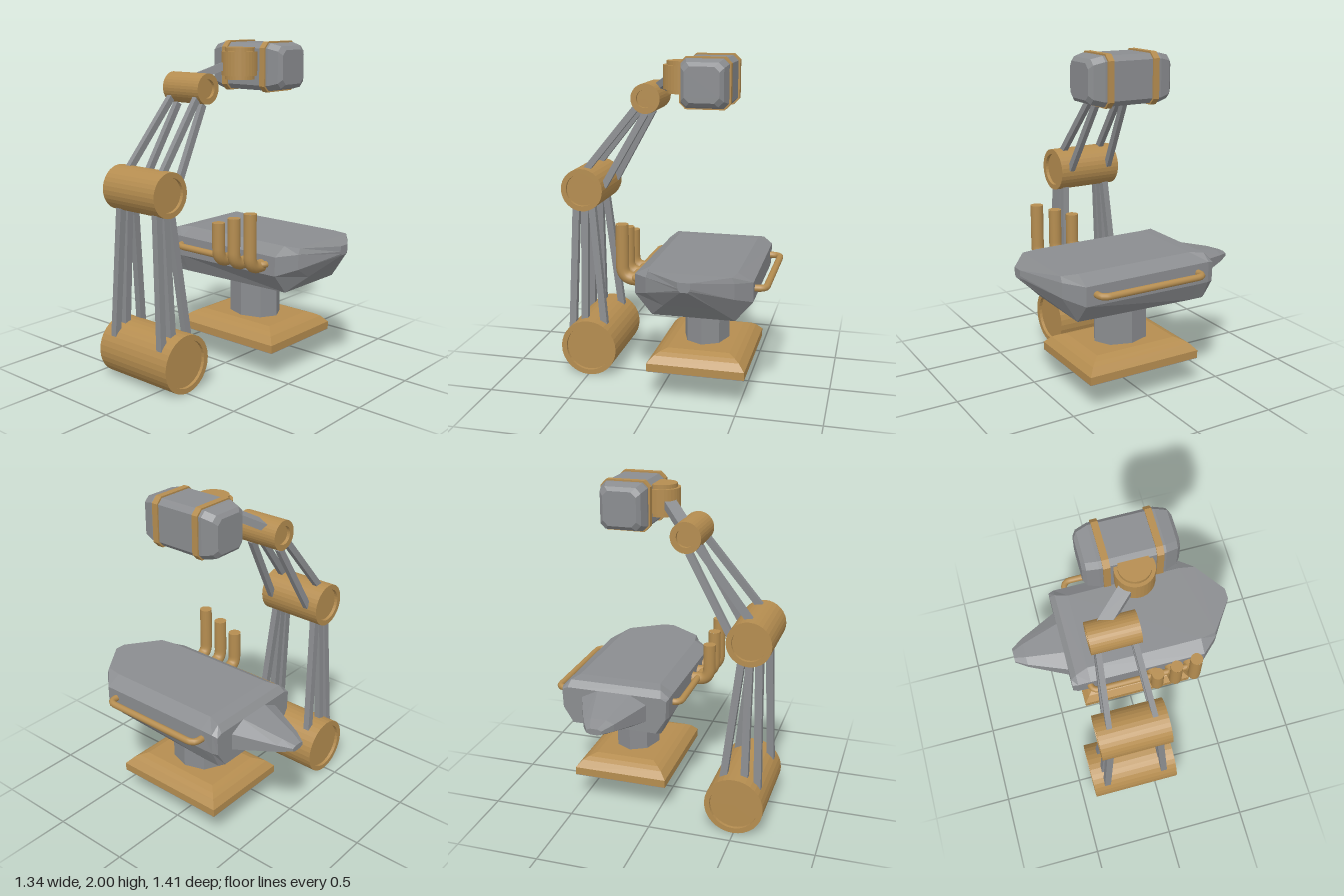
import * as THREE from 'three';

const brass = new THREE.MeshStandardMaterial({ color: 0xb58d50 });
brass.name = 'brass';
const steel = new THREE.MeshStandardMaterial({ color: 0x8b8d90 });
steel.name = 'steel';

const CX = 0.245; // centre line of the anvil

export function createModel() {
  const model = new THREE.Group();

  // Adds a mesh; faceted unless smooth is set
  function add(name, geometry, material, smooth = false) {
    let g = geometry;
    if (!smooth) {
      if (g.index) g = g.toNonIndexed();
      g.computeVertexNormals();
    }
    const mesh = new THREE.Mesh(g, material);
    mesh.name = name;
    model.add(mesh);
    return mesh;
  }

  // Joins rings of points (anticlockwise seen from +z, in order of z) and caps both ends
  function loft(rings) {
    const n = rings[0].length;
    const index = [];
    for (let i = 0; i < rings.length - 1; i++) {
      for (let j = 0; j < n; j++) {
        const a = i * n + j, b = i * n + (j + 1) % n;
        index.push(a, b, b + n, a, b + n, a + n);
      }
    }
    const last = (rings.length - 1) * n;
    for (let j = 1; j < n - 1; j++) {
      index.push(0, j + 1, j, last, last + j, last + j + 1);
    }
    const g = new THREE.BufferGeometry();
    g.setAttribute('position', new THREE.Float32BufferAttribute(rings.flat(2), 3));
    g.setIndex(index);
    return g;
  }

  // Rectangle with cut corners
  function octagon(cx, cy, hx, hy, cutX, cutY, z) {
    const x = hx - cutX, y = hy - cutY;
    return [[hx, -y], [hx, y], [x, hy], [-x, hy], [-hx, y], [-hx, -y], [-x, -hy], [x, -hy]]
      .map(([px, py]) => [cx + px, cy + py, z]);
  }

  // Drum along z with a shallow recess in each end
  function drum(name, x, y, z0, z1, r, inner) {
    const h = (z1 - z0) / 2, d = h - 0.02;
    const profile = [[0, -d], [inner, -d], [inner, -h], [r, -h], [r, h], [inner, h], [inner, d], [0, d]]
      .map(([a, b]) => new THREE.Vector2(a, b));
    const g = new THREE.LatheGeometry(profile, 32);
    g.rotateX(Math.PI / 2);
    add(name, g, brass).position.set(x, y, (z0 + z1) / 2);
  }

  // Straight bar between two points
  function strut(name, from, to, width, depth, up = [0, 0, 1]) {
    const a = new THREE.Vector3(...from), b = new THREE.Vector3(...to);
    const mesh = add(name, new THREE.BoxGeometry(width, depth, a.distanceTo(b)), steel);
    mesh.up.set(...up);
    mesh.position.copy(a).add(b).multiplyScalar(0.5);
    mesh.lookAt(b);
  }

  // Pipe with one rounded bend or more
  function pipe(name, points, bend, radius) {
    const v = points.map((p) => new THREE.Vector3(...p));
    const path = new THREE.CurvePath();
    let start = v[0];
    for (let i = 1; i < v.length - 1; i++) {
      const p = v[i].clone().add(v[i - 1].clone().sub(v[i]).setLength(bend));
      const q = v[i].clone().add(v[i + 1].clone().sub(v[i]).setLength(bend));
      path.add(new THREE.LineCurve3(start, p));
      path.add(new THREE.QuadraticBezierCurve3(p, v[i], q));
      start = q;
    }
    path.add(new THREE.LineCurve3(start, v[v.length - 1]));
    add(name, new THREE.TubeGeometry(path, 40, radius, 14, false), brass, true);
  }

  // Arm joints
  drum('footDrum', -0.495, 0.177, -0.415, 0.14, 0.177, 0.145);
  drum('elbowDrum', -0.543, 1.173, -0.345, 0.07, 0.132, 0.1);
  drum('wristDrum', -0.155, 1.733, -0.277, 0.003, 0.09, 0.055);

  // Arm struts, mirrored about the arm's own plane
  const armZ = -0.135;
  for (const s of [-1, 1]) {
    for (const [x0, y0, x1, y1] of [
      [-0.62, 0.27, -0.594, 1.08], [-0.54, 0.3, -0.538, 1.08], [-0.412, 0.31, -0.495, 1.08],
    ]) {
      strut('lowerStrut', [x0, y0, armZ + s * 0.192], [x1, y1, armZ + s * 0.146], 0.043, 0.04);
    }
    for (const [x0, y0, x1, y1] of [[-0.54, 1.28, -0.2, 1.7], [-0.42, 1.19, -0.165, 1.64]]) {
      strut('upperStrut', [x0, y0, armZ + s * 0.135], [x1, y1, armZ + s * 0.1], 0.04, 0.032);
    }
  }
  strut('wristLink', [-0.12, 1.775, -0.18], [0.04, 1.875, 0.01], 0.075, 0.045, [0, 1, 0]);

  // Swivel behind the hammer head
  add('swivel', new THREE.CylinderGeometry(0.11, 0.11, 0.14, 32), brass).position.set(0.08, 1.873, 0.045);
  add('swivelCap', new THREE.CylinderGeometry(0.09, 0.09, 0.187, 32), brass).position.set(0.08, 1.873, 0.045);

  // Hammer head with tapered ends
  const headY = 1.853;
  add('hammerHead', loft([
    [-0.22, 0.1], [-0.2, 0.122], [-0.135, 0.138], [0.225, 0.138], [0.29, 0.122], [0.31, 0.1],
  ].map(([z, h]) => octagon(0.25, headY, h, h, 0.03, 0.03, z))), steel);
  for (const z of [-0.097, 0.192]) {
    add('hammerBand', loft([-0.019, 0.019].map((d) =>
      octagon(0.25, headY, 0.148, 0.147, 0.035, 0.035, z + d))), brass);
  }

  // Anvil body: z, then half width and height of four points down one side
  add('anvilBody', loft([
    [-0.395, 0.29, 0.8, 0.325, 0.785, 0.32, 0.67, 0.26, 0.575],
    [-0.36, 0.28, 0.838, 0.333, 0.795, 0.33, 0.67, 0.28, 0.56],
    [-0.28, 0.252, 0.845, 0.333, 0.795, 0.333, 0.67, 0.28, 0.56],
    [0.46, 0.252, 0.845, 0.34, 0.795, 0.34, 0.68, 0.24, 0.56],
    [0.56, 0.235, 0.845, 0.25, 0.81, 0.25, 0.72, 0.15, 0.655],
    [0.705, 0.035, 0.843, 0.035, 0.81, 0.03, 0.797, 0.02, 0.787],
  ].map(([z, ...p]) => {
    const side = [0, 2, 4, 6].map((i) => [p[i], p[i + 1]]);
    const right = side.slice().reverse().map(([x, y]) => [CX + x, y, z]);
    const left = side.map(([x, y]) => [CX - x, y, z]);
    return [...right, ...left];
  })), steel);

  // Horn at the back
  add('anvilHorn', loft([
    [-0.71, 0.045, 0.698, 0.018], [-0.635, 0.092, 0.7, 0.042], [-0.38, 0.207, 0.697, 0.107],
  ].map(([z, hx, y, hy]) => octagon(CX, y, hx, hy, hx * 0.5, hy * 0.5, z))), steel);

  // Neck and stepped base
  const neck = new THREE.CylinderGeometry(1, 1, 0.3, 8);
  neck.scale(0.138, 1, 0.176);
  add('neck', neck, steel).position.set(0.243, 0.43, 0.038);
  const base = loft([
    [0.18, 0.291, 0.368], [0.228, 0.291, 0.368], [0.268, 0.254, 0.332], [0.285, 0.225, 0.305], [0.3, 0.185, 0.265],
  ].map(([y, hx, hz]) => [[hx, -hz, y], [hx, hz, y], [-hx, hz, y], [-hx, -hz, y]]));
  base.rotateX(-Math.PI / 2);
  add('base', base, brass).position.set(0.243, 0, 0.038);
  const sole = new THREE.BoxGeometry(0.58, 0.004, 0.734);
  add('baseSole', sole, steel).position.set(0.243, 0.179, 0.038);

  // Side rails
  for (const [inner, outer] of [[0.55, 0.645], [-0.06, -0.13]]) {
    pipe('sideRail', [[inner, 0.742, -0.285], [outer, 0.742, -0.285], [outer, 0.742, 0.395], [inner, 0.742, 0.395]], 0.05, 0.02);
  }

  // Three exhaust pipes, stepped in height
  for (const [z, top] of [[0.36, 1.055], [0.238, 1.01], [0.12, 0.965]]) {
    pipe('exhaustPipe', [[-0.05, 0.73, z], [-0.198, 0.73, z], [-0.198, top, z]], 0.075, 0.038);
    const cap = new THREE.CircleGeometry(0.038, 14);
    cap.rotateX(-Math.PI / 2);
    add('exhaustPipeEnd', cap, brass).position.set(-0.198, top, z);
  }

  return model;
}
